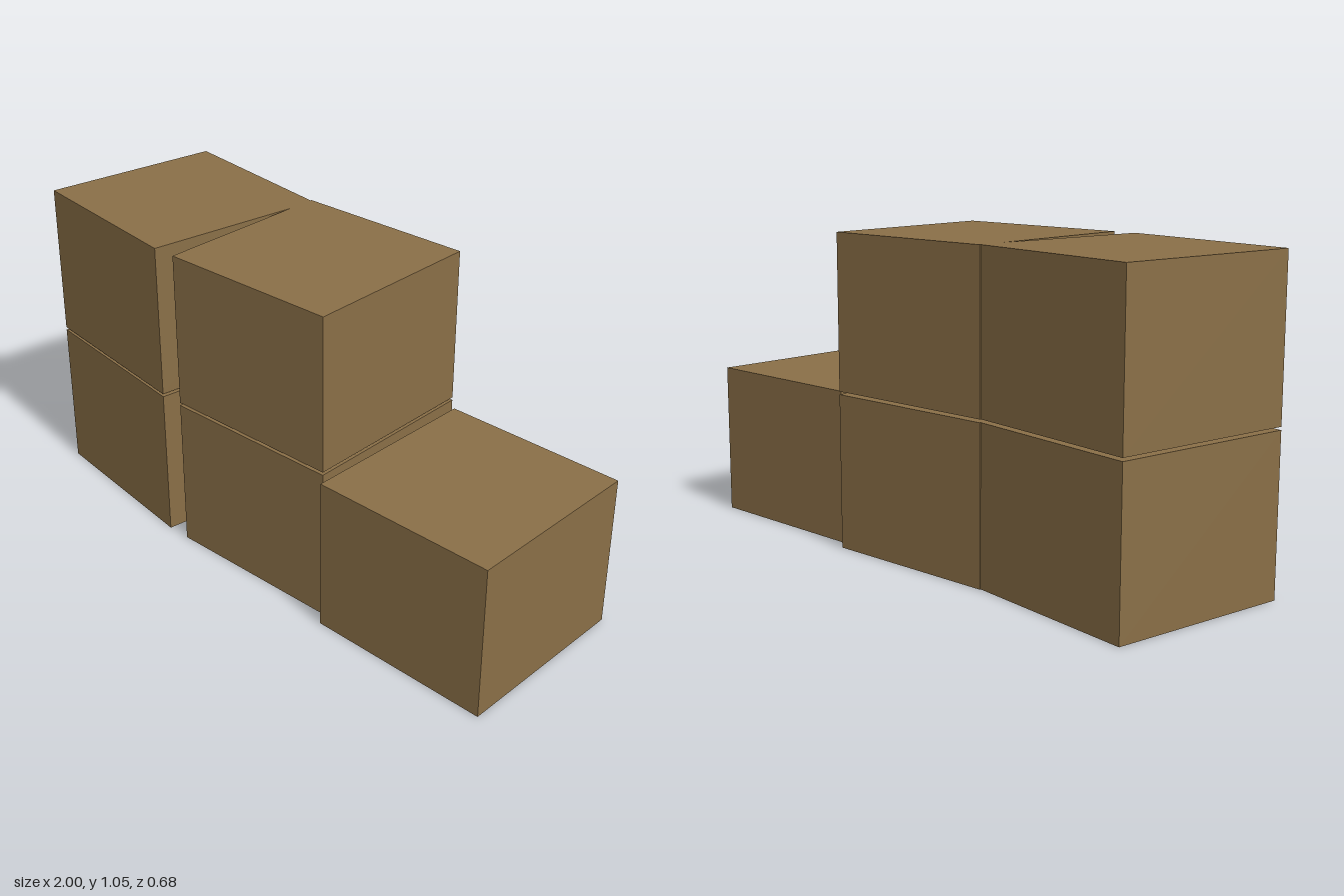
import * as THREE from 'three';

export function createModel() {
  const model = new THREE.Group();
  model.name = 'crateStack';
  const wood = new THREE.MeshStandardMaterial({ color: 0x8a6f47 });
  wood.name = 'brown wood';

  const side = 0.63, height = 0.52, gap = 0.01;
  const box = new THREE.BoxGeometry(side, height, side);

  // Slightly turned columns of crates
  const columns = [
    { name: 'rightCrate', x: -0.659, turn: -0.086, count: 2 },
    { name: 'middleCrate', x: 0.003, turn: 0.07, count: 2 },
    { name: 'leftCrate', x: 0.668, turn: 0.05, count: 1 },
  ];
  for (const { name, x, turn, count } of columns) {
    for (let level = 0; level < count; level++) {
      const crate = new THREE.Mesh(box, wood);
      crate.name = name + (level ? 'Upper' : 'Lower');
      crate.position.set(x, height / 2 + level * (height + gap), 0);
      crate.rotation.y = turn;
      model.add(crate);
    }
  }
  return model;
}
